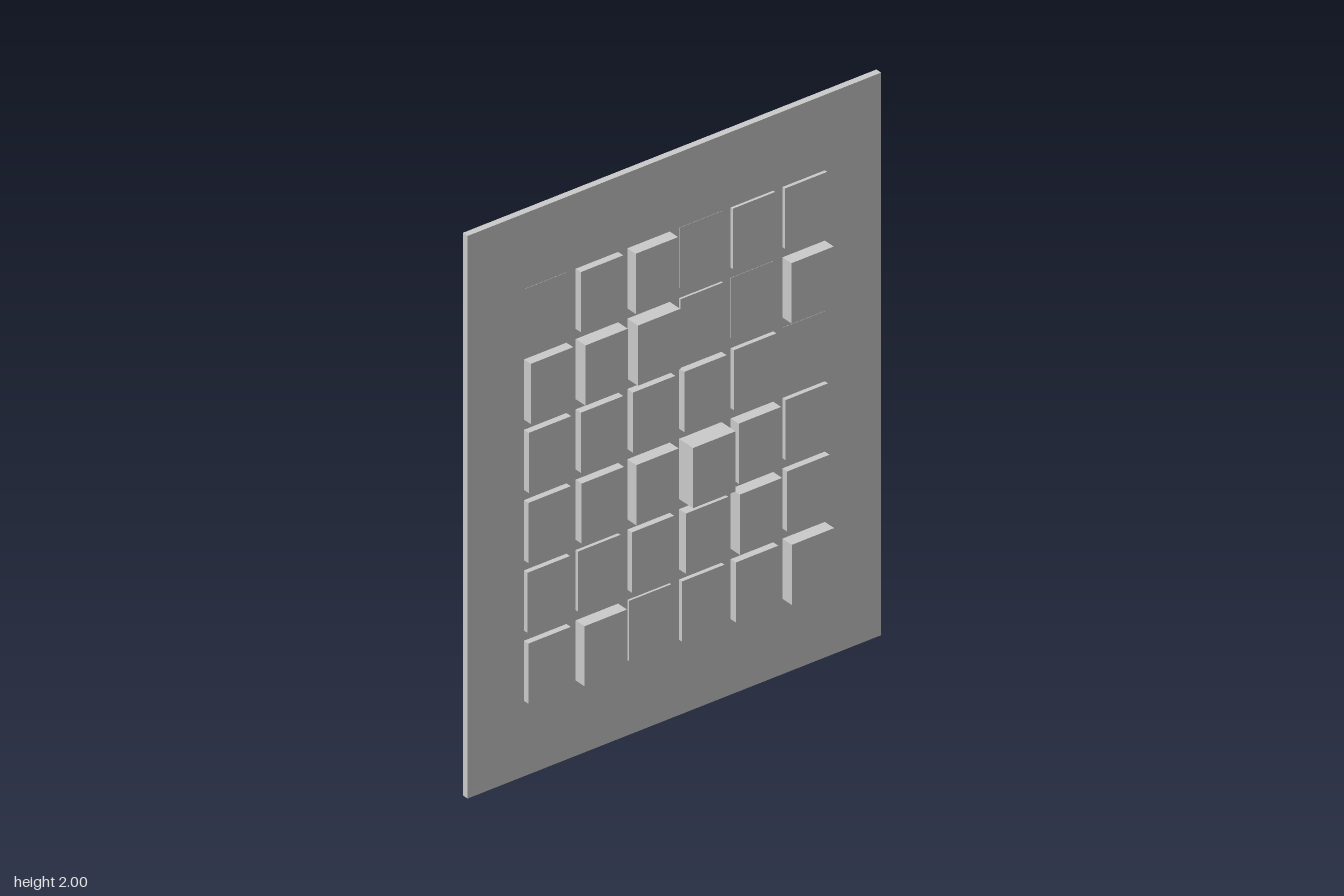
import * as THREE from 'three';

const WIDTH = 1.6, HEIGHT = 2, THICK = 0.024;
const BACK = -0.047;                 // back plane of the panel
const PITCH_X = 0.2, PITCH_Y = 0.25; // window grid
const CELL_W = 0.164, CELL_H = 0.214;

// How far each window is pushed forward, top row first
const PUSH = [
  [0.001, 0.026, 0.042, 0.001, 0.01, 0.012],
  [0.034, 0.049, 0.053, 0.008, 0.001, 0.045],
  [0.024, 0.026, 0.028, 0.026, 0.016, 0.001],
  [0.022, 0.03, 0.045, 0.07, 0.04, 0.016],
  [0.018, 0.012, 0.022, 0.034, 0.045, 0.024],
  [0.022, 0.045, 0.008, 0.015, 0.026, 0.047],
];

function rectangle(Type, x, y, w, h) {
  const path = new Type();
  path.moveTo(x - w / 2, y - h / 2);
  path.lineTo(x + w / 2, y - h / 2);
  path.lineTo(x + w / 2, y + h / 2);
  path.lineTo(x - w / 2, y + h / 2);
  path.closePath();
  return path;
}

export function createModel() {
  const model = new THREE.Group();
  const grey = new THREE.MeshStandardMaterial({ color: 0xcccccc, flatShading: true });
  const sheet = grey.clone();
  sheet.side = THREE.DoubleSide;

  const panelShape = rectangle(THREE.Shape, 0, HEIGHT / 2, WIDTH, HEIGHT);

  // Pressed windows: a plate moved forward, with thin walls back to the panel
  PUSH.forEach((row, r) => row.forEach((push, c) => {
    const x = (c - 2.5) * PITCH_X;
    const y = HEIGHT / 2 + (2.5 - r) * PITCH_Y;
    panelShape.holes.push(rectangle(THREE.Path, x, y, CELL_W, CELL_H));

    const cell = new THREE.Group();
    cell.name = `window row ${r + 1} column ${c + 1}`;
    cell.position.set(x, y, BACK);

    const plate = new THREE.Mesh(new THREE.BoxGeometry(CELL_W, CELL_H, THICK), grey);
    plate.name = 'windowPlate';
    plate.position.z = push + THICK / 2;
    cell.add(plate);

    const gap = push - THICK;
    if (gap > 0) {
      for (const s of [-1, 1]) {
        const side = new THREE.Mesh(new THREE.PlaneGeometry(gap, CELL_H), sheet);
        side.name = 'sideWall';
        side.rotation.y = s * Math.PI / 2;
        side.position.set(s * CELL_W / 2, 0, THICK + gap / 2);
        const sill = new THREE.Mesh(new THREE.PlaneGeometry(CELL_W, gap), sheet);
        sill.name = 'sillWall';
        sill.rotation.x = -s * Math.PI / 2;
        sill.position.set(0, s * CELL_H / 2, THICK + gap / 2);
        cell.add(side, sill);
      }
    }
    model.add(cell);
  }));

  // Flat panel with the window openings
  const panel = new THREE.Mesh(
    new THREE.ExtrudeGeometry(panelShape, { depth: THICK, bevelEnabled: false }), grey);
  panel.name = 'facadePanel';
  panel.position.z = BACK;
  model.add(panel);

  return model;
}
